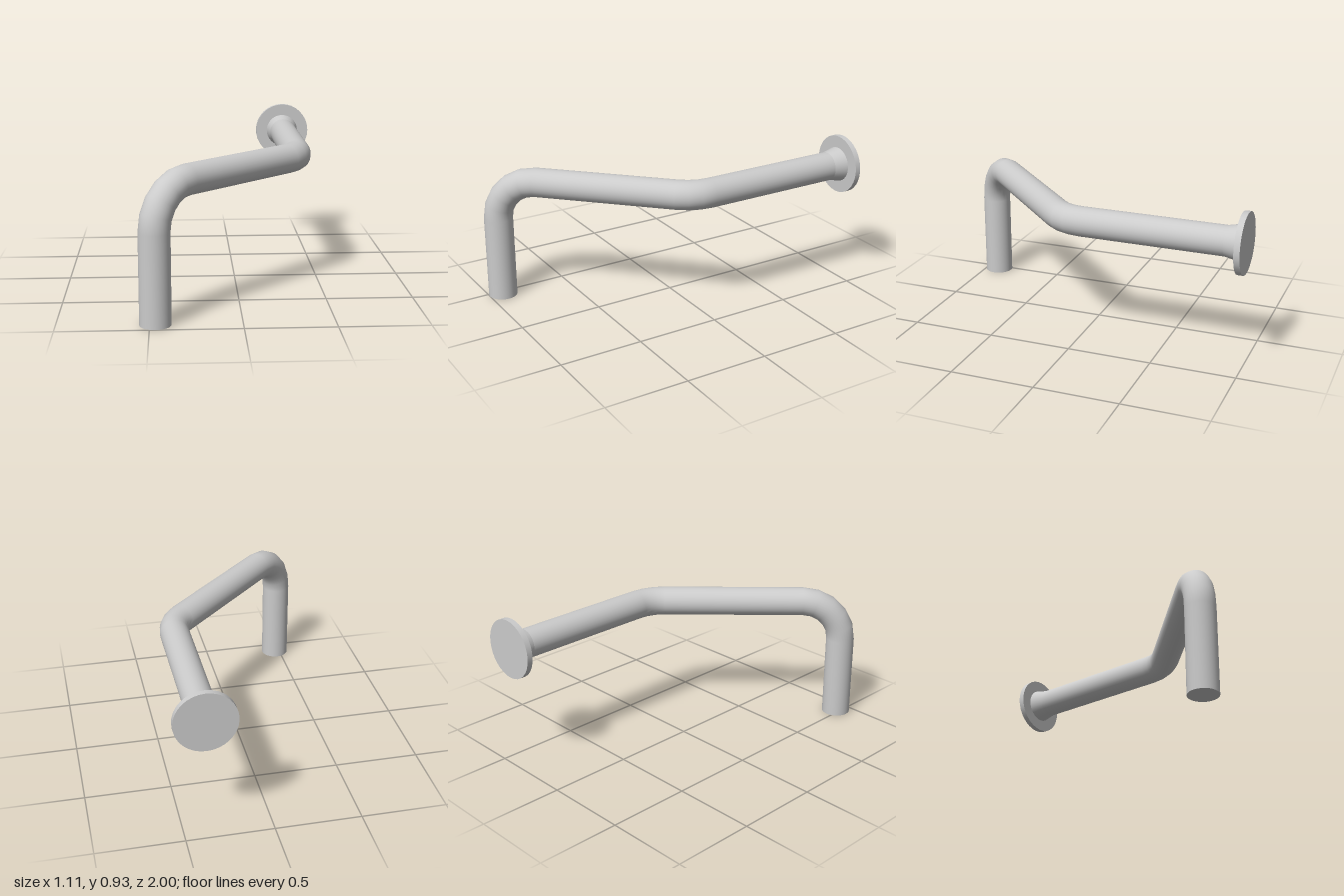
import * as THREE from 'three';

const SIDES = 32;
const PIPE_R = 0.0865;
const BEND_R = 0.245;
const material = new THREE.MeshStandardMaterial({ color: 0xcccccc });

function addMesh(group, name, geometry) {
  const mesh = new THREE.Mesh(geometry, material);
  mesh.name = name;
  group.add(mesh);
  return mesh;
}

// Round bar from a to b; radii rA and rB allow a taper
function addBar(group, name, a, b, rA = PIPE_R, rB = rA) {
  const dir = b.clone().sub(a);
  const mesh = addMesh(group, name, new THREE.CylinderGeometry(rB, rA, dir.length(), SIDES));
  mesh.position.copy(a).add(b).multiplyScalar(0.5);
  mesh.quaternion.setFromUnitVectors(new THREE.Vector3(0, 1, 0), dir.normalize());
}

// Torus arc rounding a corner between two travel directions; returns its end points
function addElbow(group, name, corner, dirIn, dirOut, segments) {
  const angle = dirIn.angleTo(dirOut);
  const trim = BEND_R * Math.tan(angle / 2);
  const start = corner.clone().addScaledVector(dirIn, -trim);
  const end = corner.clone().addScaledVector(dirOut, trim);
  const inward = dirOut.clone().addScaledVector(dirIn, -Math.cos(angle)).normalize();
  const xAxis = inward.clone().negate();
  const zAxis = xAxis.clone().cross(dirIn);
  const mesh = addMesh(group, name, new THREE.TorusGeometry(BEND_R, PIPE_R, SIDES, segments, angle));
  mesh.quaternion.setFromRotationMatrix(new THREE.Matrix4().makeBasis(xAxis, dirIn, zAxis));
  mesh.position.copy(start).addScaledVector(inward, BEND_R);
  return { start, end };
}

export function createModel() {
  const group = new THREE.Group();
  group.name = 'bentPipe';

  // Corner points of the pipe's centre line, from the foot to the flange
  const foot = new THREE.Vector3(-0.469, 0, 0.9135);
  const lowerCorner = new THREE.Vector3(-0.469, 0.752, 0.9135);
  const upperCorner = new THREE.Vector3(0.378, 0.752, 0.0665);
  const collarStart = new THREE.Vector3(0.378, 0.752, -0.885);
  const collarEnd = new THREE.Vector3(0.378, 0.752, -0.966);
  const flangeBack = new THREE.Vector3(0.378, 0.752, -1);

  const up = new THREE.Vector3(0, 1, 0);
  const across = upperCorner.clone().sub(lowerCorner).normalize();
  const back = new THREE.Vector3(0, 0, -1);

  // Pipe runs joined by two elbows
  const lower = addElbow(group, 'lowerElbow', lowerCorner, up, across, 5);
  const upper = addElbow(group, 'upperElbow', upperCorner, across, back, 3);
  addBar(group, 'verticalPipe', foot, lower.start);
  addBar(group, 'diagonalPipe', lower.end, upper.start);
  addBar(group, 'rearPipe', upper.end, collarStart);

  // Flared collar and mounting flange
  addBar(group, 'collar', collarStart, collarEnd, PIPE_R, 0.104);
  addBar(group, 'flange', collarEnd, flangeBack, 0.176);

  return group;
}
